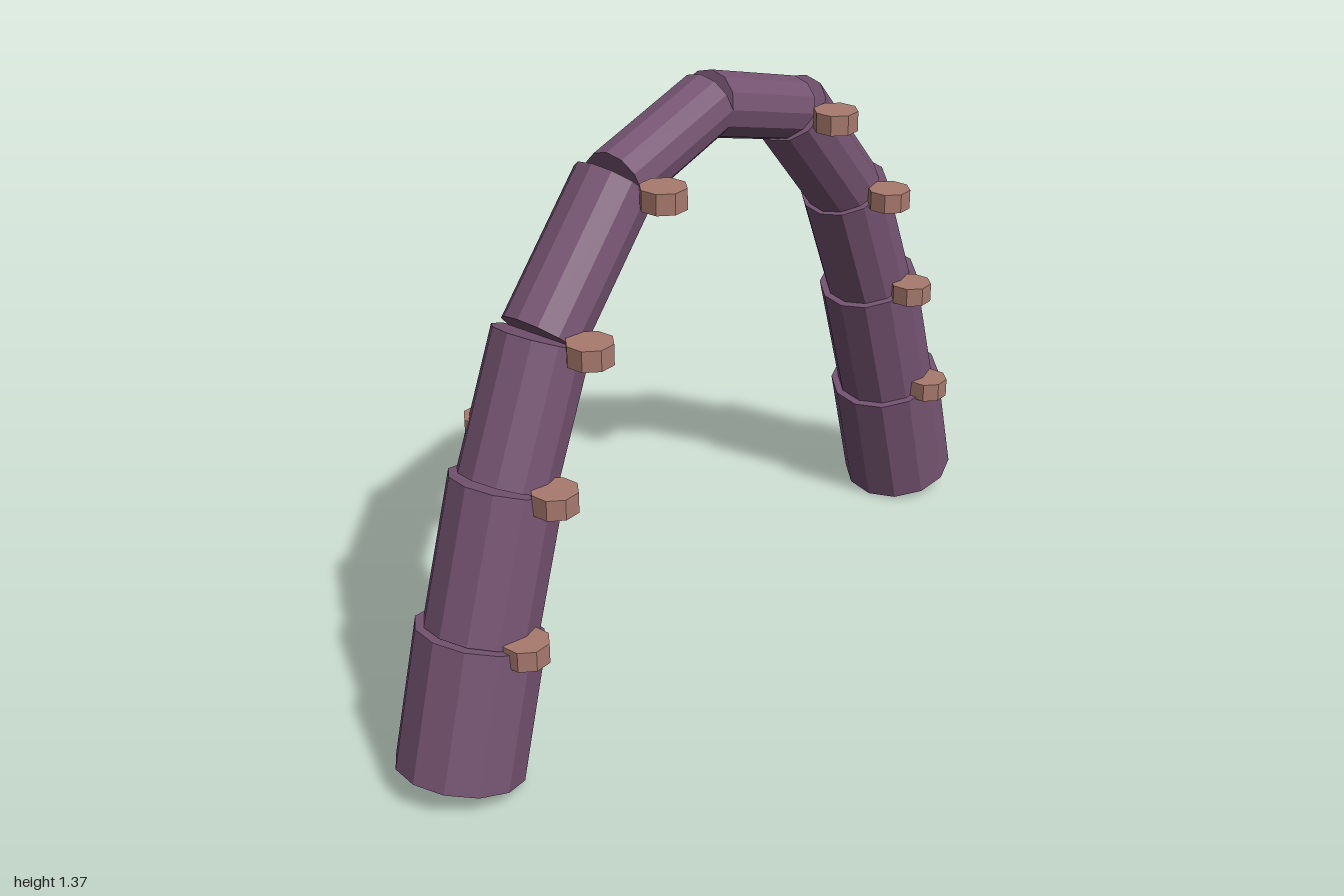
import * as THREE from 'three';

export function createModel() {
  const model = new THREE.Group();
  model.name = 'segmentedArch';
  const purple = new THREE.MeshStandardMaterial({ color: 0x765472 });
  purple.name = 'dusky purple';
  const clay = new THREE.MeshStandardMaterial({ color: 0xa87a6e });
  clay.name = 'clay pink';
  const axisZ = -0.02;

  // Joints of one half of the arch, from foot to crown, and the radius of each segment
  const joints = [[0.862, 0.042], [0.777, 0.35], [0.677, 0.664], [0.553, 0.95], [0.313, 1.215], [0, 1.306]];
  const radii = [0.143, 0.125, 0.108, 0.092, 0.075];

  const add = (geometry, material, name) => {
    const flat = geometry.toNonIndexed();
    flat.computeVertexNormals(); // faceted sides
    const mesh = new THREE.Mesh(flat, material);
    mesh.name = name;
    model.add(mesh);
    return mesh;
  };

  const knob = (x, y, z, name) => {
    const geometry = new THREE.CylinderGeometry(0.052, 0.052, 0.047, 8).rotateY(Math.PI / 8);
    add(geometry, clay, name).position.set(x, y, z);
  };

  for (const side of [1, -1]) {
    const label = side > 0 ? 'left' : 'right';

    // Straight tubes, thinner towards the crown
    radii.forEach((r, i) => {
      const a = new THREE.Vector3(side * joints[i][0], joints[i][1], axisZ);
      const b = new THREE.Vector3(side * joints[i + 1][0], joints[i + 1][1], axisZ);
      const dir = b.clone().sub(a);
      const tube = add(new THREE.CylinderGeometry(r, r, dir.length(), 12), purple, `${label}Segment${i + 1}`);
      tube.position.copy(a).add(b).multiplyScalar(0.5);
      tube.rotation.z = Math.atan2(-dir.x, dir.y);
    });

    // Knobs in front of the joints
    [[0.778, 0.354], [0.673, 0.664], [0.552, 0.952], [0.312, 1.214]].forEach(([x, y], i) =>
      knob(side * x, y, 0.112, `${label}Knob${i + 1}`));

    // Knob almost sunk into the back
    knob(side * 0.66, 0.77, -0.081, `${label}BackKnob`);
  }
  return model;
}
